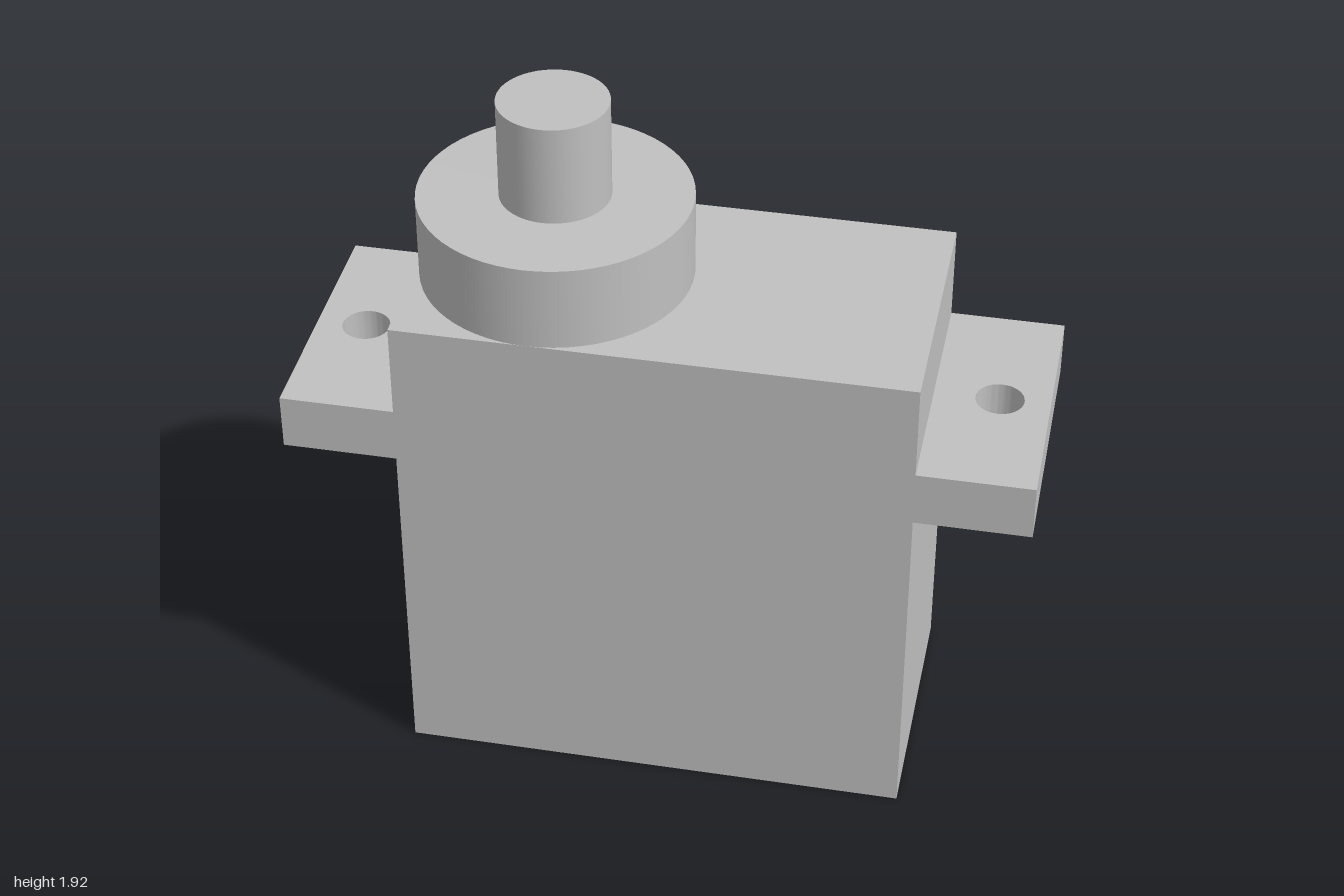
import * as THREE from 'three';
import { toCreasedNormals } from 'three/addons/utils/BufferGeometryUtils.js';

const BODY = { halfWidth: 0.69, height: 1.41, halfDepth: 0.365 };
const TAB = { bottom: 0.99, thickness: 0.155, end: 1, holeX: 0.865, holeRadius: 0.065 };
const OUTPUT_X = -0.325;

export function createModel() {
  const group = new THREE.Group();
  const grey = new THREE.MeshStandardMaterial({ color: 0xc0c0c0 });
  grey.name = 'grey plastic';

  const add = (name, geometry, x, y, z = 0) => {
    const mesh = new THREE.Mesh(geometry, grey);
    mesh.name = name;
    mesh.position.set(x, y, z);
    group.add(mesh);
    return mesh;
  };

  // Upright cylinder standing on a given height
  const addCylinder = (name, radius, bottom, top) =>
    add(name, new THREE.CylinderGeometry(radius, radius, top - bottom, 64), OUTPUT_X, (bottom + top) / 2);

  // Main case
  add('case', new THREE.BoxGeometry(BODY.halfWidth * 2, BODY.height, BODY.halfDepth * 2), 0, BODY.height / 2);

  // Mounting tabs, each with a screw hole
  const length = TAB.end - BODY.halfWidth;
  const midX = (TAB.end + BODY.halfWidth) / 2;
  for (const side of [-1, 1]) {
    const shape = new THREE.Shape([
      new THREE.Vector2(-length / 2, -BODY.halfDepth),
      new THREE.Vector2(length / 2, -BODY.halfDepth),
      new THREE.Vector2(length / 2, BODY.halfDepth),
      new THREE.Vector2(-length / 2, BODY.halfDepth),
    ]);
    const hole = new THREE.Path();
    hole.absarc(side * (TAB.holeX - midX), 0, TAB.holeRadius, 0, Math.PI * 2, true);
    shape.holes.push(hole);
    const tab = new THREE.ExtrudeGeometry(shape, { depth: TAB.thickness, bevelEnabled: false, curveSegments: 32 });
    tab.rotateX(-Math.PI / 2);
    add(side > 0 ? 'leftMountingTab' : 'rightMountingTab', toCreasedNormals(tab, 0.6), side * midX, TAB.bottom);
  }

  // Gear housing and output shaft
  addCylinder('gearHousing', 0.365, BODY.height, 1.645);
  addCylinder('outputShaft', 0.148, 1.645, 1.925);

  return group;
}
